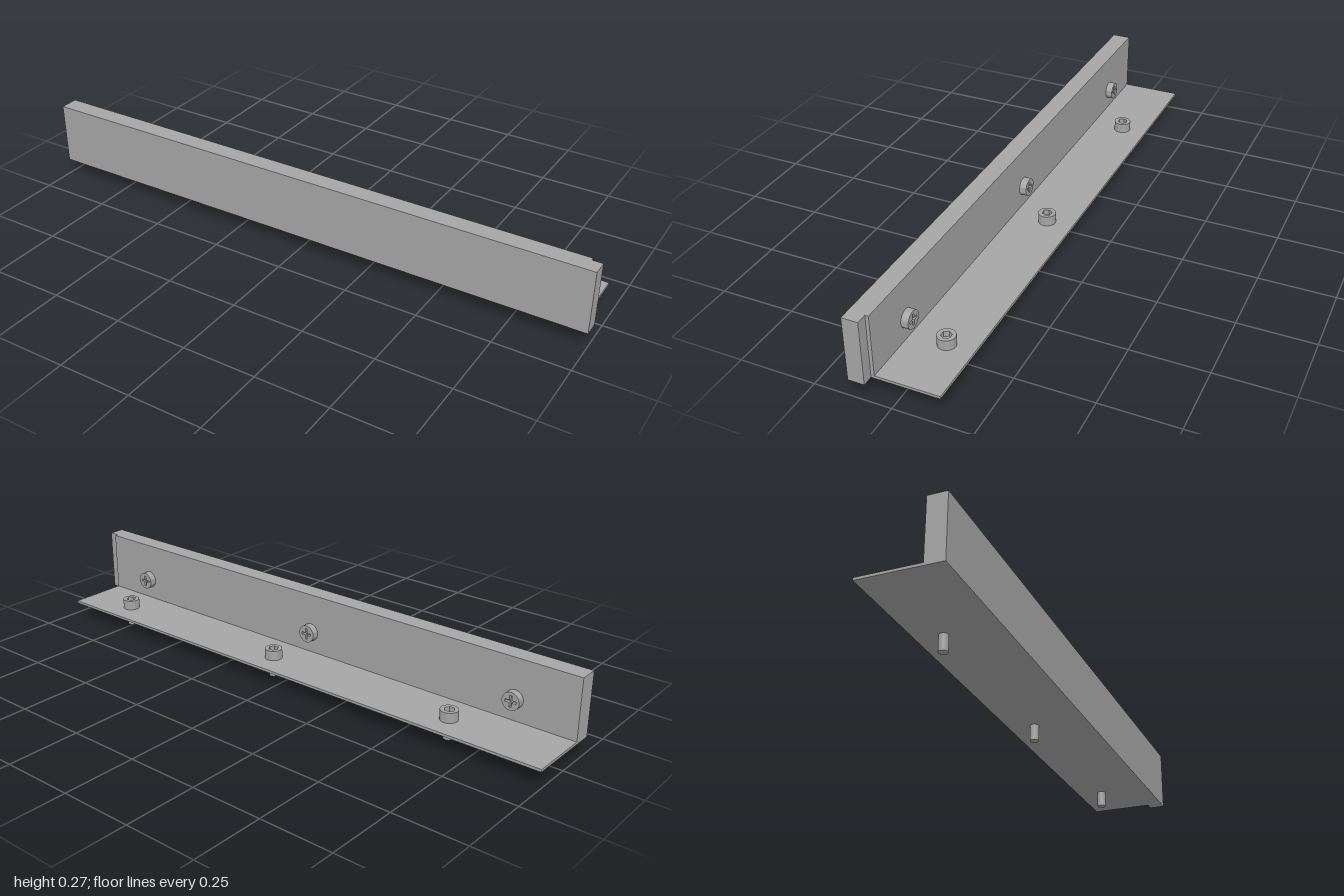
import * as THREE from 'three';
import { toCreasedNormals } from 'three/addons/utils/BufferGeometryUtils.js';

const steel = new THREE.MeshStandardMaterial({ color: 0xa6a6a6 });
steel.name = 'grey metal';

function addMesh(parent, name, geometry) {
  const mesh = new THREE.Mesh(geometry, steel);
  mesh.name = name;
  parent.add(mesh);
  return mesh;
}

function extrude(shape, depth) {
  const geometry = new THREE.ExtrudeGeometry(shape, { depth, bevelEnabled: false, curveSegments: 24 });
  return toCreasedNormals(geometry, 0.6);
}

// Hexagonal socket outline
function hexOutline(r) {
  return Array.from({ length: 6 }, (_, i) =>
    new THREE.Vector2(r * Math.cos(i * Math.PI / 3), r * Math.sin(i * Math.PI / 3)));
}

// Cross recess outline, one arm corner group per quarter turn
function crossOutline(reach, half) {
  const points = [];
  for (let i = 0; i < 4; i++) {
    for (const [x, y] of [[reach, -half], [reach, half], [half, half]]) {
      points.push(new THREE.Vector2(x, y).rotateAround(new THREE.Vector2(), i * Math.PI / 2));
    }
  }
  return points;
}

// Screw pointing along +z from its seat at z = 0: recessed head and shank behind
function makeScrew(name, radius, height, recess, depth, shankRadius, shankLength) {
  const screw = new THREE.Group();
  screw.name = name;
  const disc = new THREE.Shape().absarc(0, 0, radius, 0, Math.PI * 2);
  addMesh(screw, 'headBase', extrude(disc, height - depth));
  const ring = disc.clone();
  ring.holes.push(new THREE.Path(recess));
  addMesh(screw, 'headRim', extrude(ring, depth)).position.z = height - depth;
  const shank = new THREE.CylinderGeometry(shankRadius, shankRadius, shankLength, 32).rotateX(Math.PI / 2);
  addMesh(screw, 'shank', shank).position.z = -shankLength / 2;
  return screw;
}

export function createModel() {
  const model = new THREE.Group();
  model.name = 'railWithAngleBracket';

  // Front board
  addMesh(model, 'frontBoard', new THREE.BoxGeometry(2, 0.215, 0.053)).position.set(0, 0.1625, 0.1085);

  // L-shaped angle, slightly shorter than the board
  const profile = new THREE.Shape([
    [-0.082, 0.055], [0.135, 0.055], [0.135, 0.064],
    [-0.071, 0.064], [-0.071, 0.27], [-0.082, 0.27],
  ].map(([x, y]) => new THREE.Vector2(x, y)));
  const angle = extrude(profile, 1.965).rotateY(Math.PI / 2);
  addMesh(model, 'angleBracket', angle).position.x = -1;

  // Socket screws through the flat flange
  for (const x of [-0.637, 0.062, 0.762]) {
    const screw = makeScrew('flangeScrew', 0.029, 0.034, hexOutline(0.017), 0.018, 0.0155, 0.064);
    screw.rotation.x = -Math.PI / 2;
    screw.position.set(x, 0.064, -0.046);
    model.add(screw);
  }

  // Cross-head screws fixing the upright flange to the board
  for (const x of [-0.788, -0.003, 0.782]) {
    const screw = makeScrew('boardScrew', 0.03, 0.024, crossOutline(0.019, 0.004), 0.012, 0.0125, 0.045);
    screw.rotation.y = Math.PI;
    screw.position.set(x, 0.136, 0.071);
    model.add(screw);
  }
  return model;
}
